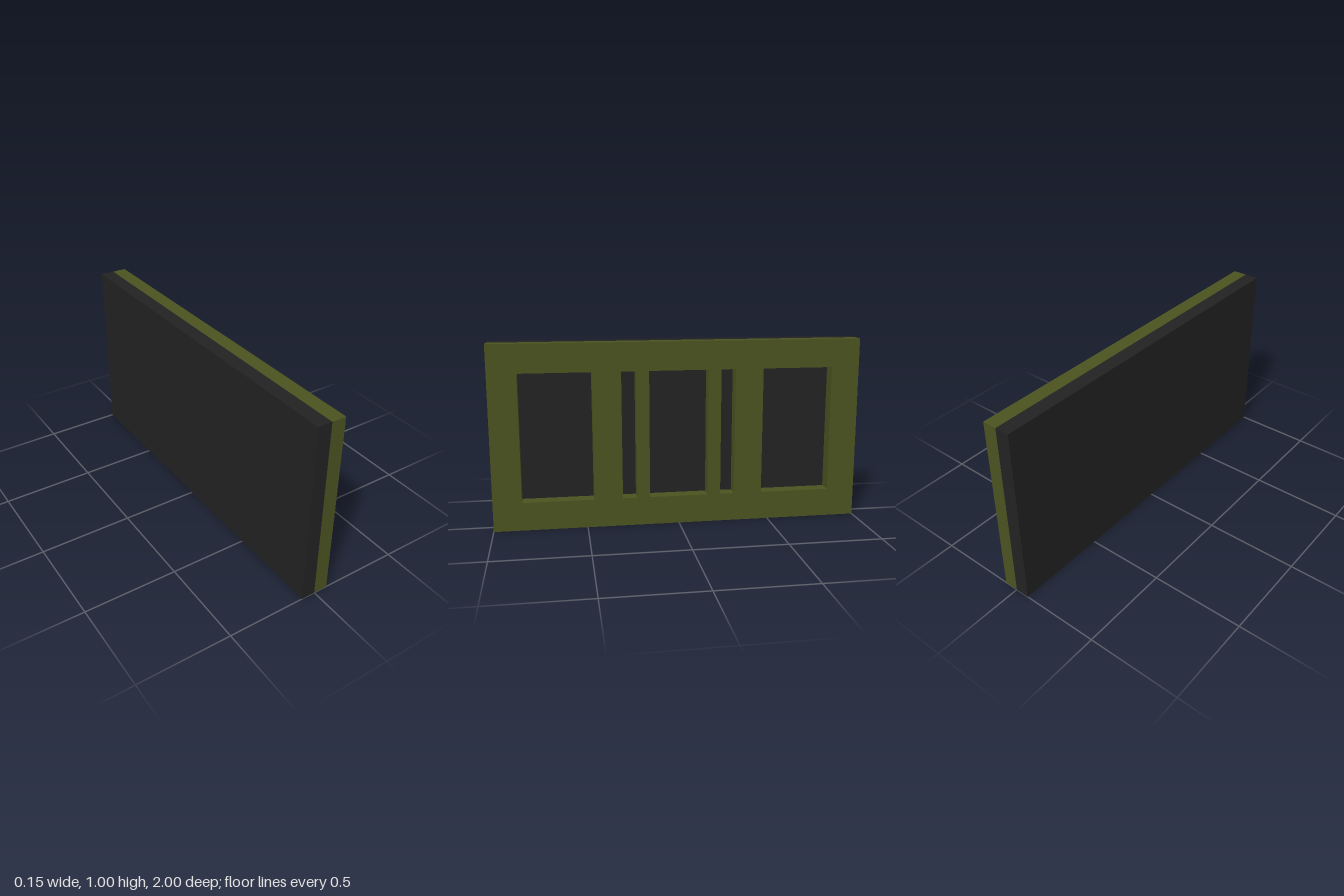
import * as THREE from 'three';

export function createModel() {
  const model = new THREE.Group();
  const olive = new THREE.MeshStandardMaterial({ color: 0x4b5320 });
  olive.name = 'olive green';
  const black = new THREE.MeshStandardMaterial({ color: 0x222222 });
  black.name = 'soft black';

  const length = 2, height = 1, depth = 0.077;

  // Solid backing board
  const back = new THREE.Mesh(new THREE.BoxGeometry(depth, height, length), black);
  back.name = 'backPanel';
  back.position.set(-depth / 2, height / 2, 0);
  model.add(back);

  // Rectangle from (x0, y0) to (x1, y1)
  const rect = (path, x0, y0, x1, y1) => {
    path.moveTo(x0, y0);
    path.lineTo(x1, y0);
    path.lineTo(x1, y1);
    path.lineTo(x0, y1);
    path.closePath();
    return path;
  };

  // Front frame with two wide, two narrow and one central opening
  const outline = rect(new THREE.Shape(), -length / 2, 0, length / 2, height);
  const openings = [[-0.16, 0.16]];
  for (const [a, b] of [[0.23, 0.308], [0.462, 0.846]]) openings.push([a, b], [-b, -a]);
  for (const [a, b] of openings) outline.holes.push(rect(new THREE.Path(), a, 0.154, b, 0.846));

  const frameGeometry = new THREE.ExtrudeGeometry(outline, { depth, bevelEnabled: false });
  frameGeometry.rotateY(Math.PI / 2); // extrusion now runs along +x
  const frame = new THREE.Mesh(frameGeometry, olive);
  frame.name = 'windowFrame';
  model.add(frame);

  return model;
}
